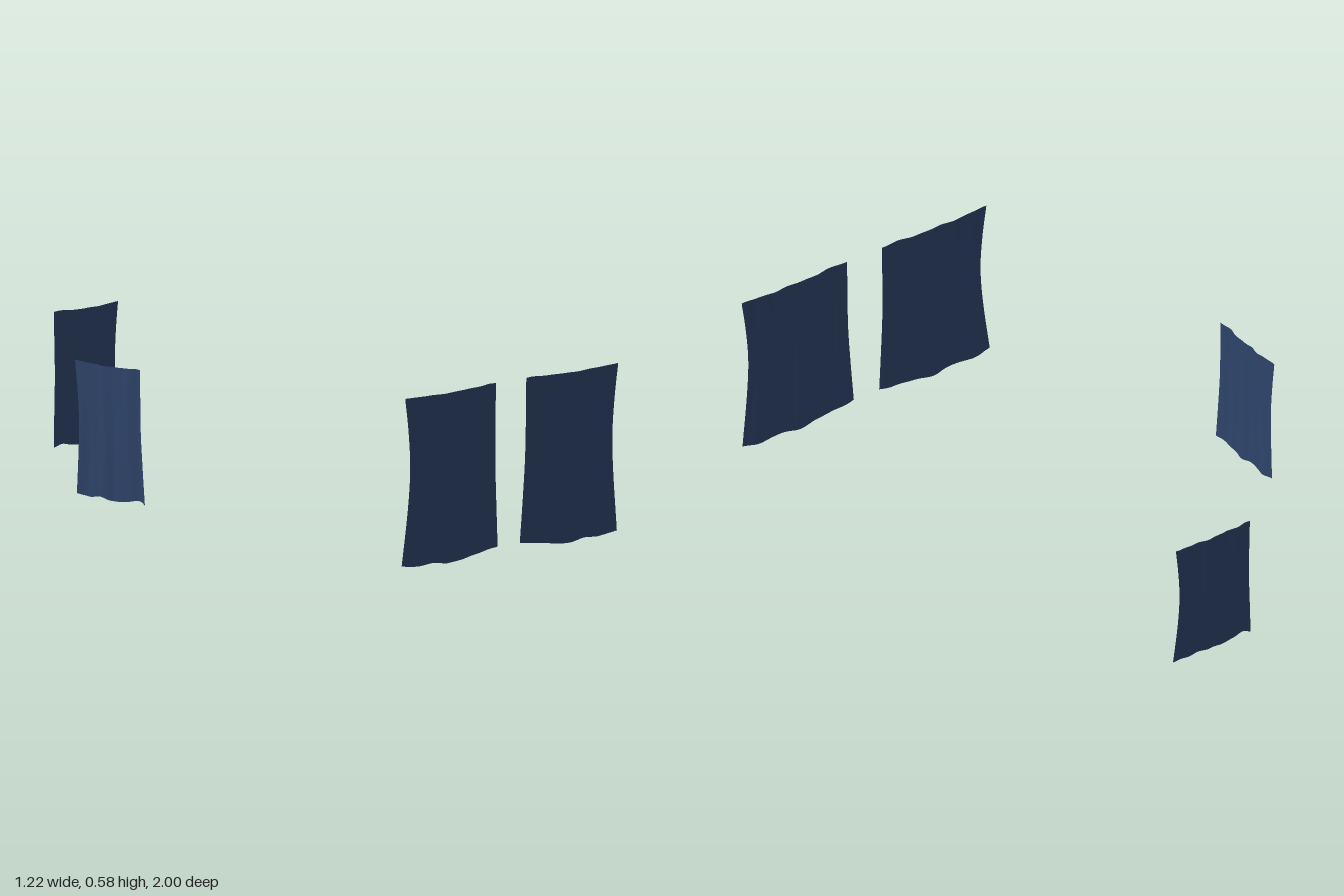
import * as THREE from 'three';

// Smooth curve through [u, value] points, sampled by u
function profile(points) {
  return (u) => {
    let i = 0;
    while (i < points.length - 2 && u > points[i + 1][0]) i++;
    const slope = (k) => {
      const a = points[Math.max(k - 1, 0)], b = points[Math.min(k + 1, points.length - 1)];
      return (b[1] - a[1]) / (b[0] - a[0]);
    };
    const [x0, y0] = points[i], [x1, y1] = points[i + 1];
    const h = x1 - x0, t = (u - x0) / h, t2 = t * t, t3 = t2 * t;
    return (2 * t3 - 3 * t2 + 1) * y0 + (t3 - 2 * t2 + t) * h * slope(i)
      + (3 * t2 - 2 * t3) * y1 + (t3 - t2) * h * slope(i + 1);
  };
}

// Hanging cloth sheet: u runs from the outer to the inner edge, v from top to bottom.
// The sheet lies in the xy plane, bulges toward +z and is placed by its group.
function clothSheet({ outer, inner, top, bottom, mirror }) {
  const geo = new THREE.PlaneGeometry(1, 1, 40, 32);
  const [outerAt, innerAt, topAt, bottomAt] = [outer, inner, top, bottom].map(profile);
  const pos = geo.attributes.position;
  for (let i = 0; i < pos.count; i++) {
    const s = pos.getX(i) + 0.5, v = 0.5 - pos.getY(i);
    const u = mirror ? 1 - s : s;
    const x = THREE.MathUtils.lerp(outerAt(v), innerAt(v), u);
    const y = THREE.MathUtils.lerp(topAt(u), bottomAt(u), v);
    // the hem swings inward, with shallow vertical folds
    const sway = 0.007 - 0.014 * v + 0.002 * Math.sin(Math.PI * v);
    const folds = 0.0025 * Math.sin(u * 17 + v * 2) + 0.0015 * Math.sin(u * 31 + 1);
    pos.setXYZ(i, mirror ? -x : x, y, sway + folds);
  }
  geo.computeVertexNormals();
  return geo;
}

export function createModel() {
  const model = new THREE.Group();
  const navyCloth = new THREE.MeshStandardMaterial({ color: 0x2e4369, side: THREE.DoubleSide });
  navyCloth.name = 'navyCloth';

  const top = [[0, 0.578], [0.4, 0.573], [0.7, 0.575], [0.92, 0.58], [1, 0.579]];

  // Large front sheets, measured from the centre line between them
  const large = {
    outer: [[0, -0.491], [0.2, -0.475], [0.42, -0.466], [0.65, -0.473], [1, -0.496]],
    inner: [[0, -0.07], [0.45, -0.069], [0.7, -0.062], [1, -0.051]],
    top,
    bottom: [[0, 0.02], [0.17, 0.01], [0.34, 0.014], [0.5, 0.004], [0.75, 0.018], [1, 0.032]],
  };
  // Small sheets, measured from their middle
  const small = {
    outer: [[0, -0.15], [0.2, -0.14], [0.42, -0.134], [0.65, -0.138], [1, -0.153]],
    inner: [[0, 0.149], [0.45, 0.148], [0.7, 0.153], [1, 0.16]],
    top,
    bottom: [[0, 0.133], [0.18, 0.127], [0.34, 0.134], [0.5, 0.125], [0.75, 0.132], [0.9, 0.14], [1, 0.13]],
  };

  const addSheet = (name, shape, x, z, turn) => {
    const mesh = new THREE.Mesh(clothSheet(shape), navyCloth);
    mesh.name = name;
    mesh.position.set(x, 0, z);
    mesh.rotation.y = turn;
    model.add(mesh);
  };

  // Pair of sheets across the front
  addSheet('frontRightCurtain', large, 0.115, 0.989, 0);
  addSheet('frontLeftCurtain', { ...large, mirror: true }, 0.115, 0.989, 0);
  // Single sheets on the back and the right side, both facing outward
  addSheet('backCurtain', small, 0.13, -0.989, Math.PI);
  addSheet('sideCurtain', small, -0.602, -0.15, -Math.PI / 2);

  return model;
}
